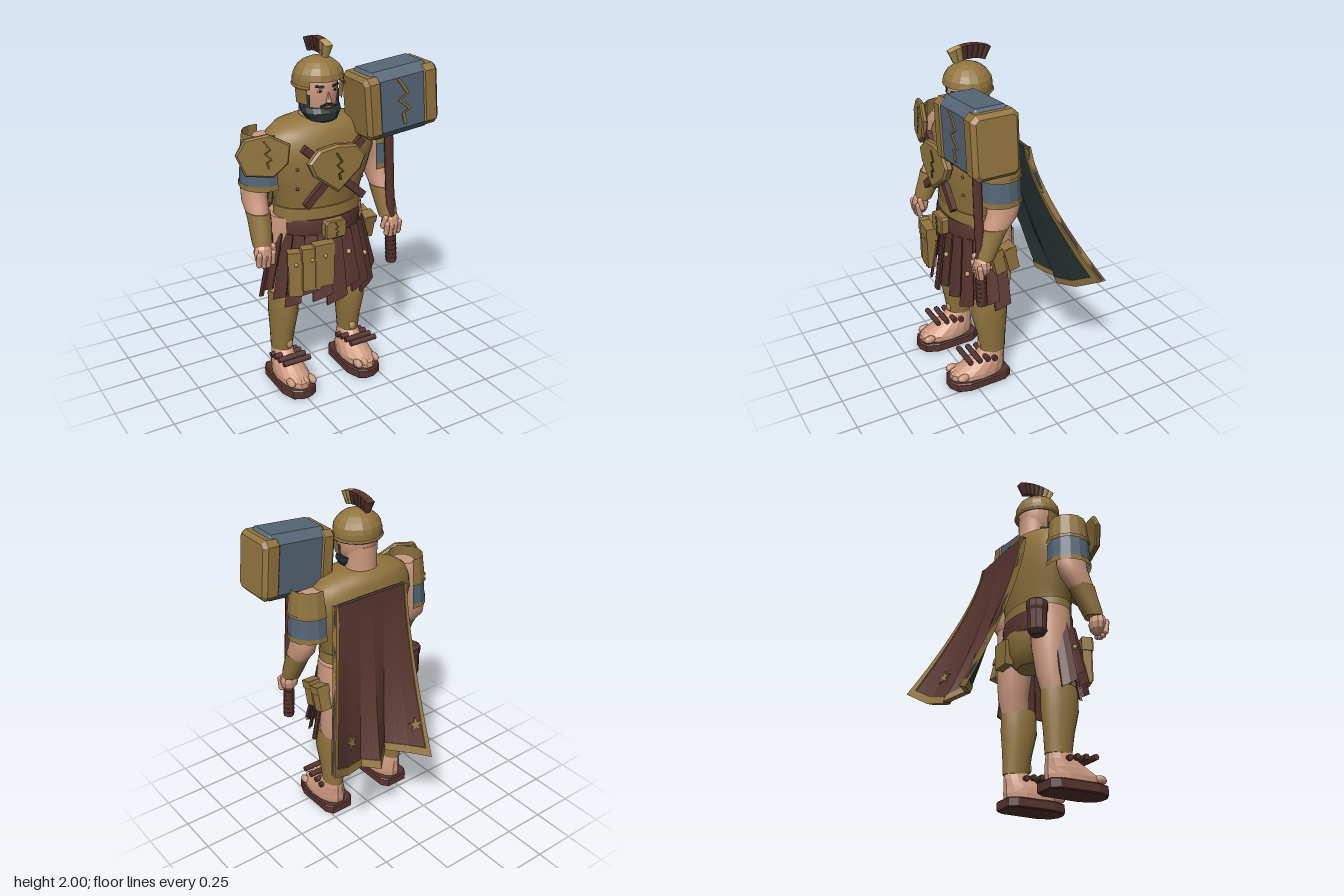
import * as THREE from 'three';

const M = (name, color, side = THREE.FrontSide) => {
  const m = new THREE.MeshStandardMaterial({ color, side });
  m.name = name;
  return m;
};

export function createModel() {
  const gold = M('aged gold', 0x92753f, THREE.DoubleSide), pale = M('pale gold', 0xb89c5a);
  const bronze = M('dark bronze', 0x5e4a28), maroon = M('maroon leather', 0x58352f);
  const steel = M('blue steel', 0x566777, THREE.DoubleSide), skin = M('skin', 0xcd9a80);
  const dark = M('dark green', 0x283433, THREE.DoubleSide), black = M('eye black', 0x1a1414), white = M('eye white', 0xd8d0c8);
  const model = new THREE.Group();
  model.name = 'armouredWarrior';
  const CX = -0.04;

  const place = (parent, name, obj, p, r) => {
    obj.name = name;
    obj.position.set(...p);
    obj.rotation.set(...r);
    parent.add(obj);
    return obj;
  };
  const add = (parent, name, geo, mat, p = [0, 0, 0], r = [0, 0, 0]) => place(parent, name, new THREE.Mesh(geo, mat), p, r);
  const group = (name, p = [0, 0, 0], parent = model, r = [0, 0, 0]) => place(parent, name, new THREE.Group(), p, r);
  const facet = (g) => {
    const f = g.index ? g.toNonIndexed() : g;
    f.computeVertexNormals();
    return f;
  };
  const box = (w, h, d) => new THREE.BoxGeometry(w, h, d);
  const ball = (rx, ry, rz, n = 12) => new THREE.SphereGeometry(1, n, Math.max(6, n / 2)).scale(rx, ry, rz);

  // Skins horizontal elliptical rings [y, x, z, rx, rz] and caps both ends
  const loft = (list, n = 24, flat = false) => {
    const rings = [...list].sort((a, b) => a[0] - b[0]), pos = [], idx = [];
    const ring = ([y, x, z, rx, rz]) => {
      for (let j = 0; j < n; j++) {
        const a = (j / n) * Math.PI * 2;
        pos.push(x + rx * Math.cos(a), y, z + rz * Math.sin(a));
      }
    };
    rings.forEach(ring);
    for (let i = 0; i < rings.length - 1; i++) for (let j = 0; j < n; j++) {
      const l = i * n + j, l2 = i * n + (j + 1) % n;
      idx.push(l, l + n, l2, l + n, l2 + n, l2);
    }
    [rings[0], rings[rings.length - 1]].forEach((r, top) => {
      const s = pos.length / 3;
      ring(r);
      pos.push(r[1], r[0], r[2]);
      for (let j = 0; j < n; j++) {
        const a = s + j, b = s + (j + 1) % n;
        idx.push(s + n, top ? b : a, top ? a : b);
      }
    });
    const g = new THREE.BufferGeometry();
    g.setAttribute('position', new THREE.Float32BufferAttribute(pos, 3));
    g.setIndex(idx);
    g.computeVertexNormals();
    return flat ? facet(g) : g;
  };
  const plate = (pts, depth, bevel = 0) => new THREE.ExtrudeGeometry(
    new THREE.Shape(pts.map(([x, y]) => new THREE.Vector2(x, y))),
    { depth, bevelEnabled: bevel > 0, bevelSize: bevel, bevelThickness: bevel, bevelOffset: -bevel, bevelSegments: 1 });
  // Zigzag crack of height h and stroke t
  const bolt = (h, t) => {
    const left = [[-.12, .5], [.1, .16], [-.1, .04], [.14, -.2], [-.02, -.26], [.02, -.5]];
    const right = left.map(([x, y]) => [x + t, y]).reverse();
    return plate([...left, ...right].map(([x, y]) => [x * h, y * h]), 0.008);
  };
  // Open curved shell around a limb or the head
  const shell = (rt, rb, y0, y1, a0, a1, n = 10) =>
    new THREE.CylinderGeometry(rt, rb, y1 - y0, n, 1, true, a0, a1 - a0).translate(0, (y0 + y1) / 2, 0);

  // Cuirass, pelvis and belt
  const body = group('body', [CX, 0, 0]);
  add(body, 'cuirass', loft([[1.1, 0, .13, .25, .155], [1.17, 0, .13, .265, .165], [1.27, 0, .13, .305, .178], [1.38, 0, .13, .34, .182],
    [1.46, 0, .13, .335, .175], [1.52, 0, .125, .3, .16], [1.56, 0, .12, .245, .145], [1.585, 0, .115, .13, .1]], 32), gold);
  add(body, 'waistBand', loft([[1.03, 0, .13, .262, .165], [1.11, 0, .13, .262, .165]], 32), gold);
  add(body, 'pelvis', loft([[.76, 0, .1, .1, .09], [.83, 0, .095, .17, .135], [.95, 0, .1, .21, .15], [1.04, 0, .12, .23, .15]]), gold);
  add(body, 'belt', loft([[.93, 0, .13, .252, .175], [.95, 0, .13, .258, .18], [1.02, 0, .13, .258, .18], [1.045, 0, .13, .252, .175]], 28), maroon);
  add(body, 'buckle', plate([[-.065, -.04], [-.05, -.053], [.05, -.053], [.065, -.04], [.065, .04], [.05, .053], [-.05, .053], [-.065, .04]], .04, .006), gold, [0, .99, .3]);
  add(body, 'buckleCrack', bolt(.08, .1), bronze, [0, .99, .343]);

  // Chest shield over crossed bars
  for (const s of [-1, 1]) {
    add(body, 'crossedBar', box(.042, .48, .03), maroon, [0, 1.31, .312], [-.06, 0, s * .84]);
    for (const y of [1.24, 1.35]) add(body, 'chestRivet', ball(.009, .009, .009, 8), bronze, [s * .2, y, .275]);
  }
  add(body, 'chestShield', plate([[-.11, .12], [0, .135], [.11, .12], [.175, .055], [.14, -.02], [0, -.13], [-.14, -.02], [-.175, .055]], .025, .012),
    gold, [0, 1.34, .325], [-.05, 0, 0]);
  add(body, 'shieldCrack', bolt(.15, .08), bronze, [0, 1.36, .359], [-.05, 0, 0]);

  // Head, face, beard and helmet
  const head = group('head', [CX, 0, 0]);
  add(head, 'neck', loft([[1.53, 0, .11, .1, .095], [1.6, 0, .11, .088, .088], [1.72, 0, .11, .092, .09]]), skin);
  add(head, 'skull', loft([[1.59, 0, .17, .06, .065], [1.64, 0, .15, .09, .095], [1.71, 0, .135, .105, .112], [1.78, 0, .135, .106, .115], [1.85, 0, .135, .09, .09]]), skin);
  add(head, 'nose', new THREE.ConeGeometry(.017, .06, 4).rotateY(Math.PI / 4), skin, [0, 1.71, .253], [-.15, 0, 0]);
  add(head, 'beard', loft([[1.56, 0, .18, .05, .05], [1.58, 0, .18, .085, .08], [1.62, 0, .17, .112, .093], [1.65, 0, .155, .112, .09]], 16, true), dark);
  add(head, 'lips', box(.04, .01, .008), maroon, [0, 1.642, .248]);
  for (const s of [-1, 1]) {
    add(head, 'moustache', box(.045, .014, .014), dark, [s * .021, 1.663, .247], [0, s * .2, -s * .35]);
    add(head, 'sideburn', shell(.115, .115, 1.64, 1.72, s * 1.2 - .35, s * 1.2 + .35, 4).scale(1, 1, .95), dark, [0, 0, .137]);
    add(head, 'eyeWhite', ball(.018, .009, .006), white, [s * .045, 1.743, .238]);
    add(head, 'pupil', ball(.008, .008, .004, 8), black, [s * .045, 1.743, .243]);
    add(head, 'eyebrow', box(.045, .011, .012), dark, [s * .046, 1.765, .239], [0, s * .3, s * .12]);
    add(head, 'cheekGuard', shell(.138, .128, 1.67, 1.77, s * 1.28 - .33, s * 1.28 + .33, 4).scale(1, 1, .97), gold, [0, 0, .14]);
  }
  add(head, 'helmetDome', facet(new THREE.SphereGeometry(.14, 16, 5, 0, Math.PI * 2, 0, Math.PI / 2).scale(1, .8, .95)), gold, [0, 1.793, .14]);
  add(head, 'helmetBand', shell(.14, .14, 1.755, 1.8, .8, Math.PI * 2 - .8, 14).scale(1, 1, .95), gold, [0, 0, .14]);
  add(head, 'helmetRim', new THREE.TorusGeometry(.138, .009, 5, 20, Math.PI * 2 - 1.7).rotateZ(Math.PI / 2 + .85).rotateX(Math.PI / 2).scale(1, 1, .95), gold, [0, 1.76, .14]);
  for (let i = -3; i <= 3; i++) {
    const a = i * .115;
    add(head, 'crestTuft', new THREE.CylinderGeometry(.026, .017, .075, 4).rotateY(Math.PI / 4).scale(1.2, 1, 1),
      i >= 2 ? pale : maroon, [.003, 1.7 + .262 * Math.cos(a), .13 + .262 * Math.sin(a)], [a, 0, 0]);
  }

  // Arms and legs, built once per side
  for (const s of [-1, 1]) {
    const side = group(s < 0 ? 'rightLimbs' : 'leftLimbs', [CX, 0, 0]);
    side.scale.x = s;
    add(side, 'arm', loft([[1.52, .32, .13, .06, .07], [1.46, .345, .13, .085, .1], [1.32, .375, .125, .072, .09], [1.24, .385, .125, .066, .092],
      [1.17, .39, .145, .066, .092], [1.1, .392, .19, .058, .075], [.97, .4, .245, .042, .045]], 18), skin);
    add(side, 'bracer', loft([[1.125, .39, .18, .064, .083], [1.08, .39, .2, .062, .074], [1.0, .397, .232, .058, .062], [.95, .4, .25, .053, .052]], 16), gold);
    add(side, 'palm', facet(ball(.056, .068, .048, 10)), skin, [.405, .915, .268]);
    for (let j = 0; j < 4; j++)
      add(side, 'finger', new THREE.CapsuleGeometry(.016, .06, 3, 7), skin, [.363 + j * .027, .878 + (j % 3 ? 0 : .012), .297], [.15, 0, 0]);
    add(side, 'thumb', new THREE.CapsuleGeometry(.017, .05, 3, 7), skin, [.353, .93, .285], [.2, 0, -.2]);
    for (const [rt, rb, y0, y1, m] of [[.105, .122, 1.4, 1.55, gold], [.118, .124, 1.275, 1.4, steel], [.129, .129, 1.25, 1.28, gold], [.127, .127, 1.395, 1.415, gold]])
      add(side, 'sleeveBand', facet(shell(rt, rb, y0, y1, -.25, Math.PI + .25, 8)), m, [.335, 0, .135]);

    add(side, 'thigh', loft([[1.05, .185, .1, .1, .12], [.95, .19, .1, .105, .12], [.8, .2, .09, .1, .105], [.65, .213, .09, .085, .09], [.54, .22, .11, .07, .085]], 20), skin);
    add(side, 'greave', loft([[.58, .22, .13, .076, .1], [.55, .22, .13, .079, .108], [.45, .22, .13, .08, .11], [.33, .222, .12, .068, .09], [.2, .225, .112, .057, .077]], 20), gold);
    add(side, 'greaveStud', ball(.022, .032, .014), pale, [.212, .25, .19]);
    add(side, 'foot', loft([[.05, .218, .215, .09, .175], [.09, .218, .21, .09, .175], [.125, .219, .175, .082, .137], [.17, .222, .135, .066, .097], [.22, .225, .115, .052, .07]], 14, true), skin);
    for (let j = 0; j < 4; j++) add(side, 'toe', ball(.022, .025, .04, 8), skin, [.155 + j * .042, .085, .35 - j * .006]);
    add(side, 'sole', plate([[.15, .025], [.285, .025], [.313, .07], [.318, .3], [.29, .375], [.24, .402], [.19, .402], [.145, .38], [.115, .3], [.12, .07]], .045, .007)
      .rotateX(Math.PI / 2), maroon, [0, .052, 0]);
    for (const [z, y] of [[.295, .197], [.235, .19], [.182, .184], [.135, .172]])
      add(side, 'ankleLace', new THREE.CylinderGeometry(.017, .017, .17, 7), maroon, [.222, y, z], [0, 0, Math.PI / 2]);
  }

  // Box whose vertices are moved by a rule
  const warpedBox = (segments, rule) => {
    const g = new THREE.BoxGeometry(1, 1, 1, ...segments), p = g.attributes.position;
    for (let k = 0; k < p.count; k++) p.setXYZ(k, ...rule(p.getX(k), p.getY(k), p.getZ(k)));
    return facet(g);
  };

  // Leather skirt of overlapping slanted strips around the front
  const skirt = group('skirt', [CX, 0, .1]), strips = 13, span = 3.3;
  for (let i = 0; i < strips; i++) {
    const mid = (i + .5) / strips * span - span / 2, drop = .56 + .035 * ((i * 5) % 3);
    const hang = (u, v, w) => {
      const a = mid + u * span / strips * 1.25, out = w * .014 + u * .028, t = .5 - v;
      return [Math.sin(a) * (.268 + .085 * t + out), .96 + (drop - .96 + u * .05) * t, Math.cos(a) * (.205 + .055 * t + out)];
    };
    add(skirt, 'skirtStrip', warpedBox([2, 3, 1], hang), maroon);
    if (i % 2) add(skirt, 'skirtStud', ball(.015, .015, .015, 8), pale, hang(.1, i % 4 === 1 ? 0 : .1, .9));
  }

  // Belt pouches
  const pouches = group('pouches');
  for (const [x, y, z, w, h, r] of [[-.27, .76, .3, .08, .26, -.35], [-.2, .795, .345, .1, .25, -.2], [-.13, .81, .36, .11, .25, -.1]]) {
    const g = group('longPouch', [x, y, z], pouches, [0, r, 0]);
    add(g, 'pouchBody', box(w, h, .05), gold);
    add(g, 'pouchFlap', box(w + .012, h * .3, .06), gold, [0, h * .37, 0]);
    add(g, 'pouchStud', ball(.011, .011, .008, 8), pale, [0, h * .25, .032]);
  }
  for (const z of [.14, .06]) {
    add(pouches, 'sidePouch', box(.07, .15, .065), gold, [.285, .868, z], [.25, 0, 0]);
    add(pouches, 'sidePouchFlap', box(.08, .045, .075), gold, [.285, .918, z + .012], [.25, 0, 0]);
  }
  add(pouches, 'rearPouch', box(.12, .15, .05), gold, [.05, .85, -.04]);
  add(pouches, 'bedroll', loft([[.84, 0, 0, .035, .035], [.87, 0, 0, .056, .056], [.98, 0, 0, .056, .056], [1.0, 0, 0, .062, .062], [1.04, 0, 0, .062, .062], [1.055, 0, 0, .04, .04]], 10, true), maroon, [-.295, 0, -.025]);

  // Right shoulder plate
  const pauldron = group('rightPauldron', [-.425, 1.45, .245], model, [-.08, -.24, 0]);
  add(pauldron, 'pauldronPlate', plate([[-.145, .02], [-.095, .1], [.03, .115], [.145, .05], [.13, -.05], [.05, -.115], [-.1, -.095]], .016, .008), gold);
  add(pauldron, 'pauldronCrack', bolt(.15, .08), bronze, [.015, .01, .022]);

  // War hammer
  const hammer = group('warHammer', [.33, 1.663, .277], model, [0, 0, .095]);
  const block = (x0, x1, h, d, c, b) => plate([[-d, -h + c], [-d + c, -h], [d - c, -h], [d, -h + c], [d, h - c], [d - c, h], [-d + c, h], [-d, h - c]], x1 - x0 - 2 * b, b)
    .rotateY(Math.PI / 2).translate(x0 + b, 0, 0);
  add(hammer, 'hammerCore', block(-.19, .19, .186, .123, .045, .03), steel);
  for (const [x0, x1] of [[-.226, -.125], [.117, .226]]) add(hammer, 'hammerCap', block(x0, x1, .17, .131, .03, .022), gold);
  add(hammer, 'hammerCrack', bolt(.26, .07), gold, [-.01, .01, .122]);
  add(hammer, 'handle', new THREE.CylinderGeometry(.026, .026, .86, 8), maroon, [-.035, -.56, 0], [0, 0, -.03]);
  for (let i = 0; i < 6; i++)
    add(hammer, 'gripWrap', new THREE.CylinderGeometry(.034, .031, .03, 8), maroon, [-.045 - i * .001, -.84 - i * .028, 0]);

  // Cape draped from the shoulders, u across and t downward
  const cape = group('cape');
  const hem = [[-.15, .53, -.395], [-.04, .57, -.33], [.08, .6, -.25], [.175, .56, -.335], [.275, .59, -.28], [.4, .62, -.33], [.54, .71, -.4]];
  const drape = (u, t, d) => {
    const i = Math.min(Math.floor(u * 6), 5), k = u * 6 - i, e = t ** 1.4, top = -.215 + .48 * u;
    const h = hem[i].map((v, c) => v + (hem[i + 1][c] - v) * k);
    return [top + (h[0] - top) * e, 1.49 + (h[1] - 1.49) * t, -.06 + (h[2] + .06) * e + d];
  };
  const cloth = (name, u0, u1, t0, t1, d0, d1, mat, nu, nt) => add(cape, name, warpedBox([nu, nt, 1], (x, y, z) =>
    drape(u0 + (u1 - u0) * (x + .5), t0 + (t1 - t0) * (.5 - y), d0 + (d1 - d0) * (z + .5))), mat);
  cloth('capeCloth', 0, 1, 0, 1, -.012, 0, maroon, 24, 10);
  cloth('capeLining', 0, 1, 0, 1, 0, .012, dark, 24, 10);
  for (const u of [0, .965]) cloth('capeSideTrim', u, u + .035, 0, 1, -.018, .018, gold, 1, 10);
  cloth('capeHem', 0, 1, .96, 1.005, -.018, .018, gold, 24, 1);
  const star = [...Array(10)].map((_, i) => [Math.sin(i * Math.PI / 5), Math.cos(i * Math.PI / 5)].map((v) => v * (i % 2 ? .018 : .045)));
  for (const [u, t] of [[.09, .83], [.8, .83]]) {
    const [a, b, c] = [[u, t], [u + .02, t], [u, t + .02]].map(([p, q]) => new THREE.Vector3(...drape(p, q, -.017)));
    const normal = c.sub(a).cross(b.sub(a));
    if (normal.z > 0) normal.negate();
    add(cape, 'capeStar', plate(star, .008), gold, a.toArray()).lookAt(a.clone().add(normal));
  }
  return model;
}
